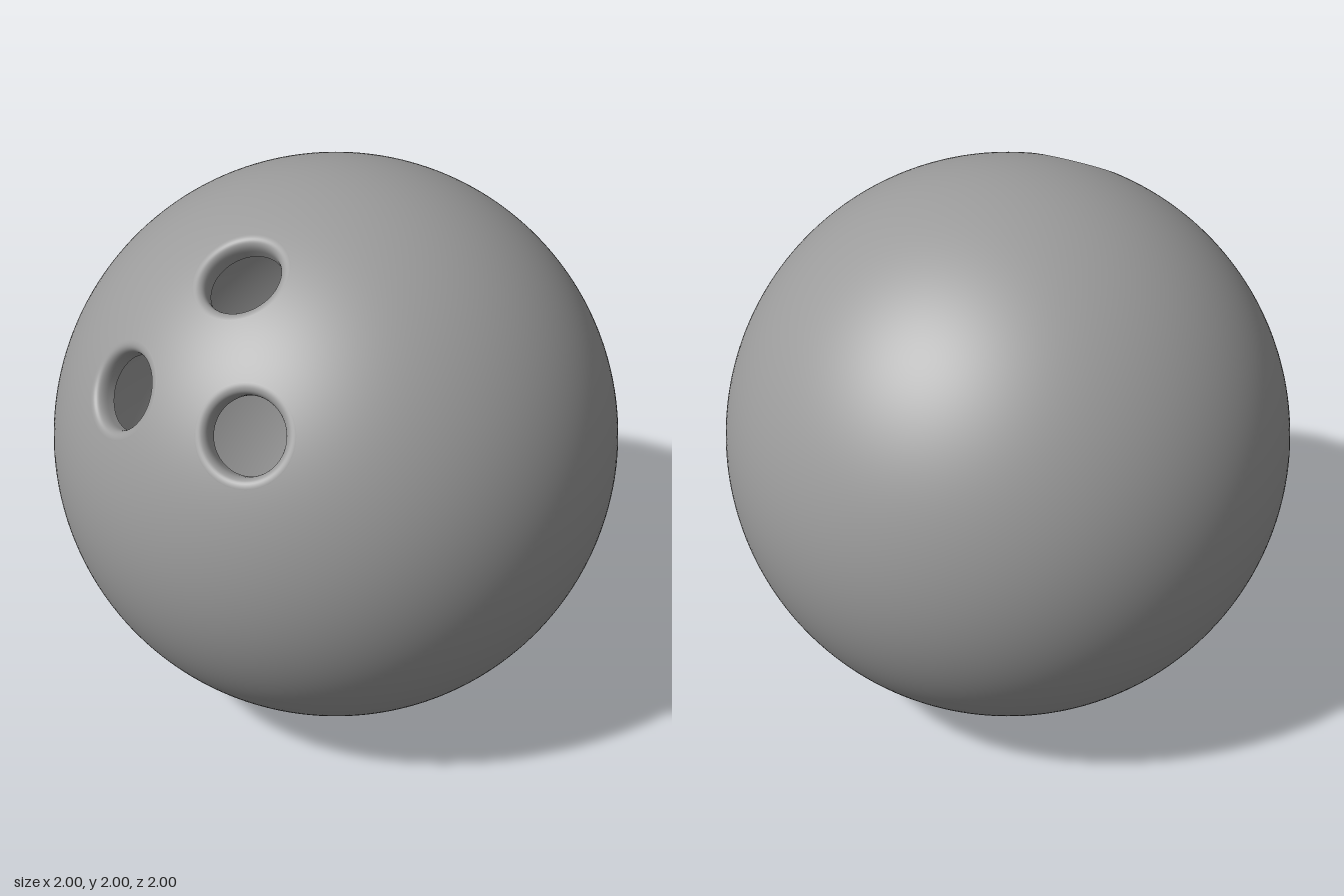
import * as THREE from 'three';

const HOLE_R = 0.126;   // hole radius
const LIP_R = 0.165;    // where the rounded lip meets the ball
const LIP_END = 0.918;  // distance of the lip's inner edge from the ball's centre
const HOLES = {
  thumbHole: [0.013, 0.5, 0.866],
  leftFingerHole: [0.49, 0.508, 0.708],
  upperFingerHole: [0.157, 0.857, 0.49],
};

// Unit sphere with circular openings: vertices inside an opening slide out to its rim
function ballGeometry(axes) {
  const geo = new THREE.SphereGeometry(1, 192, 128);
  const pos = geo.attributes.position;
  const cosA = Math.sqrt(1 - LIP_R * LIP_R);
  const owner = [];
  const v = new THREE.Vector3();
  for (let i = 0; i < pos.count; i++) {
    v.fromBufferAttribute(pos, i);
    owner[i] = axes.findIndex((a) => v.dot(a) > cosA);
    if (owner[i] < 0) continue;
    const a = axes[owner[i]];
    v.addScaledVector(a, -v.dot(a)).setLength(LIP_R).addScaledVector(a, cosA);
    pos.setXYZ(i, v.x, v.y, v.z);
    geo.attributes.normal.setXYZ(i, v.x, v.y, v.z);
  }
  const old = geo.index.array;
  const kept = [];
  for (let i = 0; i < old.length; i += 3) {
    const t = [old[i], old[i + 1], old[i + 2]];
    if (!t.every((k) => owner[k] >= 0)) kept.push(...t);
  }
  geo.setIndex(kept);
  return geo;
}

// Profile from just under the ball's skin, over the rounded edge and a short way inward
function lipGeometry() {
  const h = Math.sqrt(1 - LIP_R * LIP_R);
  const round = new THREE.QuadraticBezierCurve(
    new THREE.Vector2(LIP_R, h),
    new THREE.Vector2(HOLE_R, h + ((LIP_R - HOLE_R) * LIP_R) / h),
    new THREE.Vector2(HOLE_R, 0.945),
  );
  const skirt = LIP_R + 0.015;
  const points = [
    new THREE.Vector2(skirt, Math.sqrt(1 - skirt * skirt) - 0.001),
    ...round.getPoints(12),
    new THREE.Vector2(HOLE_R, LIP_END),
  ];
  return new THREE.LatheGeometry(points, 64);
}

export function createModel() {
  const group = new THREE.Group();
  // Hollow ball: its inside shows through the holes
  const material = new THREE.MeshStandardMaterial({ color: 0x9b9b9b, side: THREE.DoubleSide });
  const axes = Object.values(HOLES).map((d) => new THREE.Vector3(...d).normalize());

  const ball = new THREE.Mesh(ballGeometry(axes), material);
  ball.name = 'ball';
  group.add(ball);

  // Rounded hole lips, each pointing at the ball's centre
  const lipGeo = lipGeometry();
  Object.keys(HOLES).forEach((name, i) => {
    const hole = new THREE.Mesh(lipGeo, material);
    hole.name = name;
    hole.quaternion.setFromUnitVectors(new THREE.Vector3(0, 1, 0), axes[i]);
    group.add(hole);
  });

  // Rest the ball on the ground plane
  group.children.forEach((part) => { part.position.y = 1; });
  return group;
}
